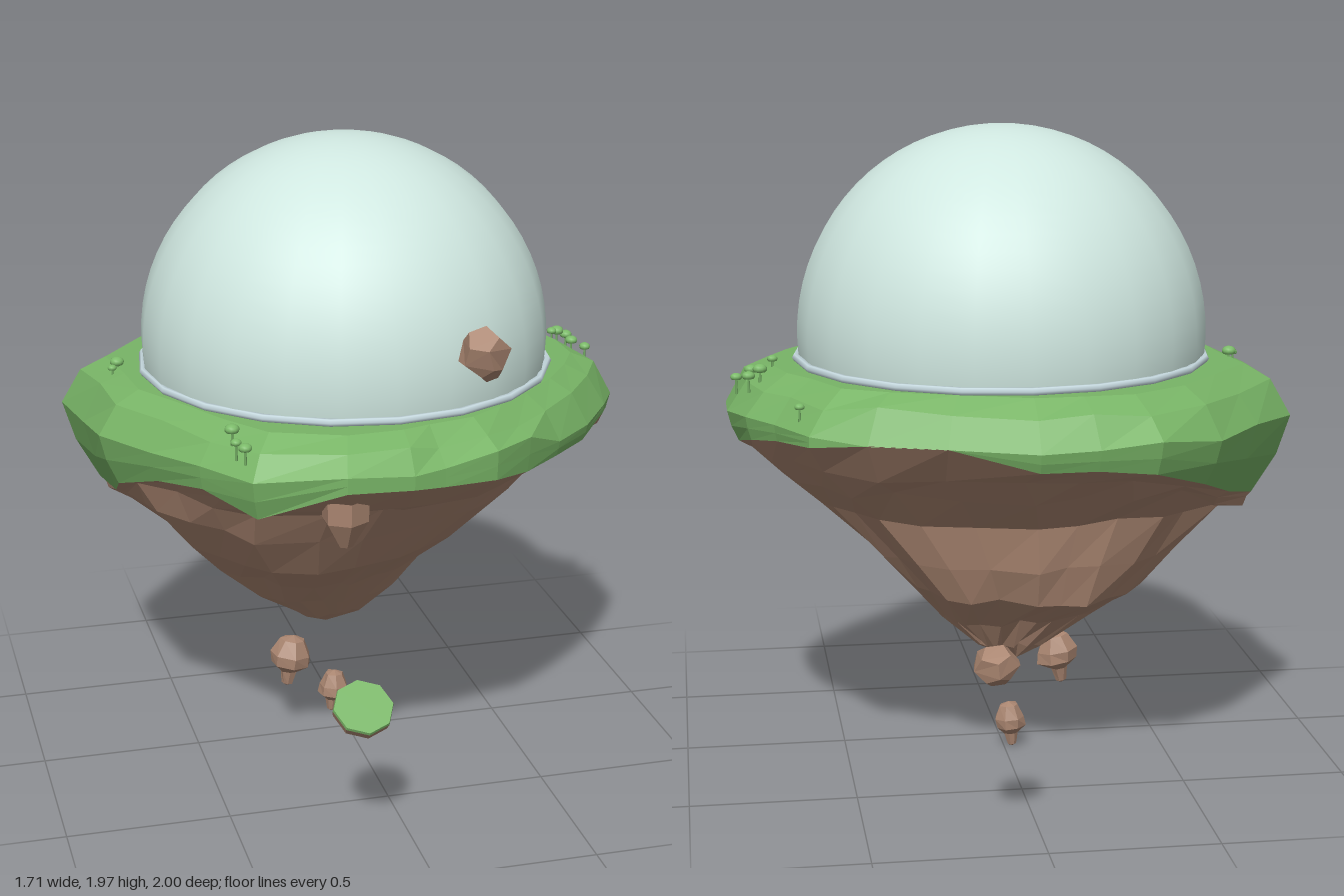
import * as THREE from 'three';

const mat = (name, color, side = THREE.FrontSide) => {
  const m = new THREE.MeshStandardMaterial({ color, side });
  m.name = name;
  return m;
};

// Island edge seen from above: x, z and the height where grass meets rock
const EDGE = [
  [0, -0.85, 1.06], [0.25, -0.76, 1.12], [0.47, -0.68, 1.12], [0.63, -0.59, 1.1], [0.72, -0.4, 1.08],
  [0.8, -0.28, 1.06], [0.85, -0.1, 1.02], [0.85, 0.07, 1.01], [0.78, 0.2, 1.09], [0.67, 0.35, 1.06],
  [0.53, 0.49, 1.07], [0.4, 0.6, 1.07], [0.27, 0.69, 1.09], [0.1, 0.73, 1.1], [0, 0.76, 1.11],
  [-0.2, 0.77, 1.12], [-0.45, 0.67, 1.02], [-0.57, 0.5, 1.07], [-0.68, 0.3, 1.03], [-0.8, 0.1, 0.96],
  [-0.82, -0.1, 0.87], [-0.855, -0.32, 0.85], [-0.7, -0.52, 0.9], [-0.55, -0.7, 0.97],
  [-0.35, -0.83, 1.04], [-0.17, -0.845, 1.06],
];

// Underside levels: y, min x, max x, back z, front z
const LEVELS = [
  [1.0, -0.735, 0.775, -0.74, 0.62], [0.93, -0.72, 0.69, -0.64, 0.46],
  [0.82, -0.66, 0.57, -0.5, 0.38], [0.68, -0.52, 0.42, -0.48, 0.28],
  [0.56, -0.41, 0.3, -0.44, 0.12], [0.45, -0.27, 0.2, -0.28, 0], [0.36, -0.12, 0.09, -0.21, -0.09],
  [0.31, -0.03, -0.03, -0.17, -0.17],
];

// Repeatable noise from a position, -1 to 1
const noise = (x, y, z) => {
  const s = Math.sin(x * 12.99 + y * 78.23 + z * 37.72) * 43758.55;
  return (s - Math.floor(s)) * 2 - 1;
};

const faceted = (g) => {
  const f = g.index ? g.toNonIndexed() : g;
  f.computeVertexNormals();
  return f;
};

const lathe = (points, sides) =>
  new THREE.LatheGeometry(points.map(([r, y]) => new THREE.Vector2(r, y)), sides);

// Faceted skin through a list of rings, top ring first
function loft(rings) {
  const n = rings[0].length, index = [];
  for (let r = 0; r < rings.length - 1; r++) {
    for (let i = 0; i < n; i++) {
      const j = (i + 1) % n, a = r * n, b = a + n;
      index.push(a + i, a + j, b + j, a + i, b + j, b + i);
    }
  }
  const g = new THREE.BufferGeometry();
  g.setAttribute('position', new THREE.Float32BufferAttribute(rings.flat(2), 3));
  g.setIndex(index);
  return faceted(g);
}

// Lumpy stone: the lower half narrows by taper
function stoneGeometry(base, sx, sy, sz, taper, seed) {
  const p = base.attributes.position;
  for (let i = 0; i < p.count; i++) {
    const [x, y, z] = [p.getX(i), p.getY(i), p.getZ(i)].map((v) => Math.round(v * 100) / 100);
    const k = (1 + 0.1 * noise(x + seed, y, z)) * (y < 0 ? 1 + y * taper : 1);
    p.setXYZ(i, x * sx * k, y * sy, z * sz * k);
  }
  return faceted(base);
}

export function createModel() {
  const root = new THREE.Group();
  root.name = 'floatingIsland';
  const grass = mat('grass green', 0x78b466);
  const rock = mat('rock brown', 0xa98570);
  const glass = mat('pale dome', 0xd1e9e2, THREE.DoubleSide);
  const rim = mat('rim grey', 0xc6d9df);
  const leaf = mat('leaf green', 0x7cbb6a);
  const stem = mat('stem green', 0x74ae64);
  const add = (name, g, m, x = 0, y = 0, z = 0, parent = root) => {
    const mesh = new THREE.Mesh(g, m);
    mesh.name = name;
    mesh.position.set(x, y, z);
    parent.add(mesh);
    return mesh;
  };

  // Grass cap, from the flat middle down over the rim to the drooping edge
  const shrink = (y) => 1 - 0.5 * Math.max(0, 1.1 - y);
  const rimY = (x, z, y) =>
    1.13 - 0.15 * Math.max(0, 1.08 - y) + (z > 0.55 ? 0.035 : 0) + 0.018 * noise(x, 2, z);
  const seam = EDGE.map(([x, z, y]) => [x * shrink(y), y, z * shrink(y)]);
  add('grassCap', loft([
    EDGE.map(() => [0, 1.255, -0.04]),
    EDGE.map(([x, z]) => [x * 0.84, 1.252, z * 0.84]),
    EDGE.map(([x, z]) => [x * 0.93, 1.21 + 0.012 * noise(x, 1, z), z * 0.93]),
    EDGE.map(([x, z, y]) => [x, rimY(x, z, y), z]),
    EDGE.map(([x, z, y]) => {
      const k = 0.35 * shrink(y) + 0.65;
      return [x * k, (rimY(x, z, y) + y) / 2, z * k];
    }),
    seam,
  ]), grass);

  // Rocky underside narrowing to an off-centre tip
  const under = LEVELS.map(([y, x0, x1, z0, z1], r) => EDGE.map(([x, z, low]) => {
    const wob = r < LEVELS.length - 1 ? 0.014 * noise(x, r, z) : 0;
    return [
      x0 + (x1 - x0) * (x + 0.855) / 1.705 + wob * 0.5,
      Math.min(y, low - 0.02 * (r + 1)) + wob,
      z0 + (z1 - z0) * (z + 0.85) / 1.62 + wob * 0.5,
    ];
  }));
  add('rockUnderside', loft([seam, ...under]), rock);

  // Spur hanging under the front edge
  add('rockSpur', faceted(lathe([[0, -0.1], [0.022, -0.092], [0.07, -0.01], [0.072, 0.06]], 6)),
    rock, -0.17, 1.0, 0.63);

  // Dome and its base ring
  add('dome', new THREE.SphereGeometry(0.632, 24, 20, 0, Math.PI * 2, 0, 1.76), glass, -0.002, 1.338, -0.042);
  const ring = add('domeRim', new THREE.TorusGeometry(0.635, 0.012, 6, 20), rim, 0, 1.264, -0.043);
  ring.rotation.x = Math.PI / 2;

  // Loose floating stones, two of them with a hanging spike
  const dodeca = () => new THREE.DodecahedronGeometry(1, 0);
  const spiked = () => lathe(
    [[0, -1], [0.25, -0.9], [0.42, -0.4], [0.95, -0.1], [0.98, 0.3], [0.6, 0.85], [0, 1]], 7);
  const stones = [
    [dodeca(), 0.14, 1.555, 0.935, 0.07, 0.083, 0.068, 0.35, 1, -0.3],
    [spiked(), -0.19, 0.255, -0.01, 0.07, 0.088, 0.062, 0, 2, 0.15],
    [spiked(), -0.02, 0.075, -0.12, 0.05, 0.075, 0.048, 0, 3, 0.08],
    [dodeca(), 0.14, 0.54, -0.935, 0.07, 0.062, 0.067, 0.3, 4, 0.1],
  ];
  for (const [base, x, y, z, sx, sy, sz, taper, seed, tilt] of stones) {
    add('floatingStone', stoneGeometry(base, sx, sy, sz, taper, seed), rock, x, y, z).rotation.z = -tilt;
  }

  // Tilted floating clod with a grassy top
  const clod = new THREE.Group();
  clod.name = 'grassyClod';
  clod.position.set(-0.15, 0.445, 0.757);
  clod.rotation.x = 0.6;
  root.add(clod);
  add('clodRock', faceted(lathe([[0, -0.078], [0.055, -0.068], [0.088, -0.025], [0.092, 0]], 8)),
    rock, 0, 0, 0, clod);
  add('clodGrass', faceted(new THREE.CylinderGeometry(0.09, 0.092, 0.009, 8)), grass, 0, 0.0045, 0, clod);

  // Tiny umbrella-shaped plants: x, top y, z, cap radius
  const plants = [
    [0.71, 1.285, -0.11, 0.016], [0.75, 1.27, -0.17, 0.022], [0.785, 1.25, -0.18, 0.02],
    [0.775, 1.255, -0.1, 0.02], [0.82, 1.23, -0.095, 0.018], [0.65, 1.21, -0.49, 0.015],
    [-0.7, 1.285, -0.15, 0.022], [-0.72, 1.27, -0.12, 0.014],
    [-0.485, 1.285, 0.56, 0.022], [-0.46, 1.245, 0.62, 0.02], [-0.48, 1.25, 0.59, 0.016],
  ];
  const cap = new THREE.SphereGeometry(1, 10, 6, 0, Math.PI * 2, 0, Math.PI * 0.7);
  const stalk = new THREE.CylinderGeometry(0.003, 0.005, 0.055, 5);
  for (const [x, y, z, r] of plants) {
    const plant = new THREE.Group();
    plant.name = 'plant';
    plant.position.set(x, y, z);
    root.add(plant);
    add('plantCap', cap, leaf, 0, -r * 0.7, 0, plant).scale.set(r, r * 0.7, r);
    add('plantStem', stalk, stem, 0, -0.038, 0, plant);
  }
  return root;
}
